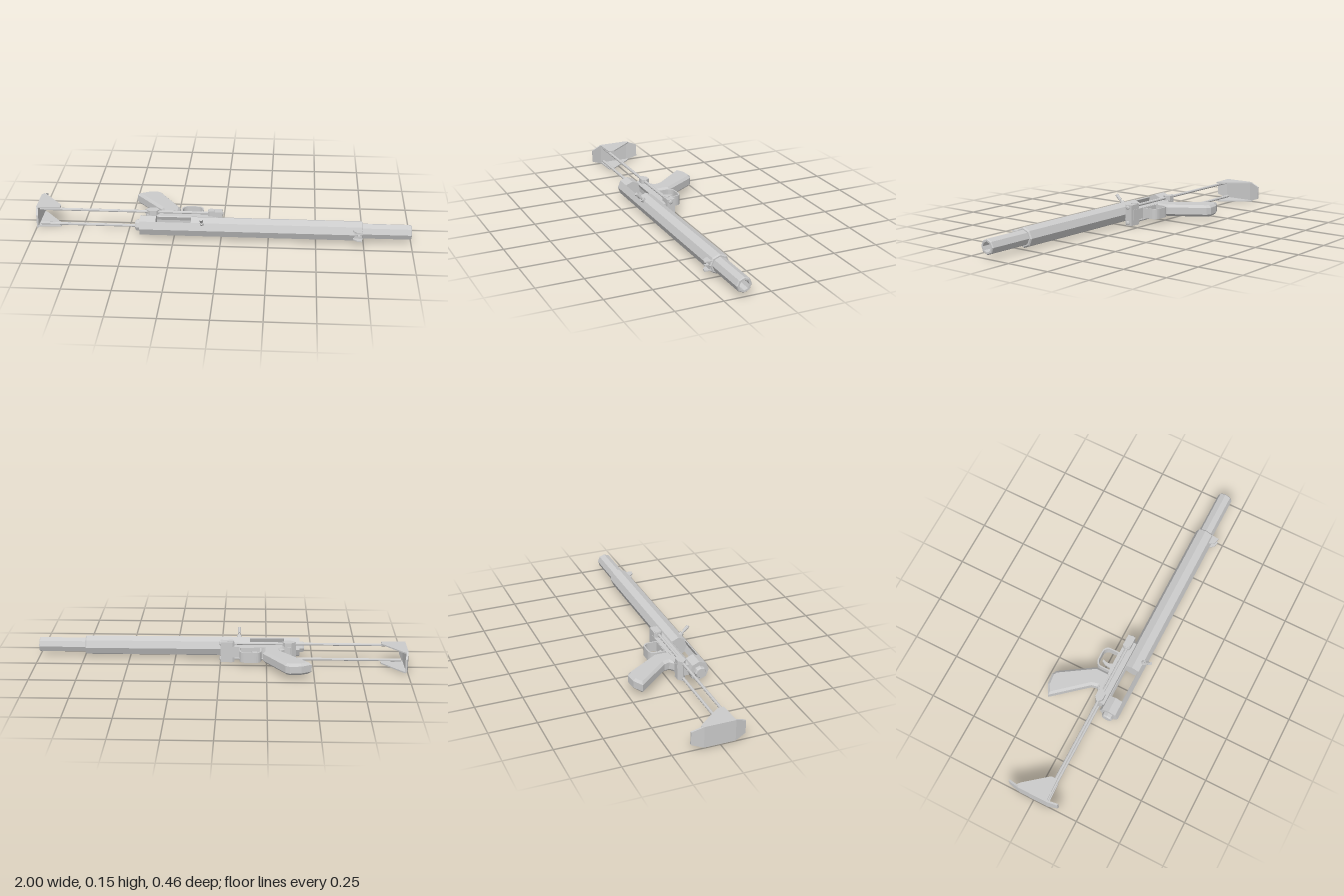
import * as THREE from 'three';

const MID = 0.061; // centre plane across y
const AXIS = 0.143; // height of the bore along z

export function createModel() {
  const root = new THREE.Group();
  const mat = new THREE.MeshStandardMaterial({ color: 0xcccccc, flatShading: true });

  const add = (name, geo, x = 0, y = 0, z = 0) => {
    const m = new THREE.Mesh(geo, mat);
    m.name = name;
    m.position.set(x, y, z);
    root.add(m);
    return m;
  };
  const box = (name, x0, x1, y0, y1, z0, z1) =>
    add(name, new THREE.BoxGeometry(x1 - x0, y1 - y0, z1 - z0), (x0 + x1) / 2, (y0 + y1) / 2, (z0 + z1) / 2);

  // turned part along x from [radius, x] points
  const turned = (name, pts, sides = 8, y = MID, z = AXIS) =>
    add(name, new THREE.LatheGeometry(pts.map(p => new THREE.Vector2(...p)), sides).rotateZ(-Math.PI / 2), 0, y, z);

  const outline = pts => new THREE.Shape(pts.map(([a, b]) => new THREE.Vector2(a, -b)));

  // [x, z] outline given thickness along y, optionally bevelled
  const slab = (name, shape, y0, y1, bevel = 0) => {
    const geo = new THREE.ExtrudeGeometry(shape, {
      depth: y1 - y0 - 2 * bevel, bevelEnabled: bevel > 0, bevelSegments: 1,
      bevelThickness: bevel, bevelSize: bevel, bevelOffset: -bevel, curveSegments: 6,
    });
    return add(name, geo.rotateX(-Math.PI / 2), 0, y0 + bevel, 0);
  };

  // Receiver: long front tube, rear collar and cap, joined by two strips beside the open port
  const R = 0.054;
  turned('receiverTube', [[0, -0.158], [R, -0.158], [R, 0.738], [0.048, 0.745], [0, 0.745]]);
  turned('rearCollar', [[0, -0.43], [R, -0.43], [R, -0.345], [0, -0.345]]);
  turned('rearCap', [[0, -0.455], [0.026, -0.455], [0.031, -0.447], [0.031, -0.43]]);
  const k = Math.SQRT1_2, r = R - 0.006;
  for (const s of [-1, 1]) {
    const v = [[R * k, -R * k], [R, 0], [R * k, R * k], [R * k - 0.004, r * k], [r, 0], [R * k - 0.004, -r * k]];
    const shape = new THREE.Shape(v.map(([a, b]) => new THREE.Vector2(s * a, b)));
    const geo = new THREE.ExtrudeGeometry(shape, { depth: 0.187, bevelEnabled: false }).rotateY(Math.PI / 2);
    add('portStrip', geo, -0.345, MID, AXIS);
  }

  // Hollow barrel
  turned('barrel', [[0.041, 0.74], [0.041, 0.995], [0.037, 1.0], [0.027, 1.0], [0.027, 0.85], [0, 0.85]]);

  // Cocking handle, leaning 45 degrees
  const handle = new THREE.Group();
  handle.name = 'cockingHandle';
  for (const [rad, len, at] of [[0.013, 0.02, 0.054], [0.006, 0.02, 0.07], [0.009, 0.036, 0.096]]) {
    const m = new THREE.Mesh(new THREE.CylinderGeometry(rad, rad, len, 8), mat);
    m.name = 'handlePart';
    m.position.y = at;
    handle.add(m);
  }
  handle.position.set(-0.1, MID, AXIS);
  handle.rotation.x = Math.PI / 4;
  root.add(handle);

  // Front sight: post between two swept ears
  const ear = outline([[0.69, 0.17], [0.745, 0.17], [0.74, 0.224], [0.712, 0.218], [0.695, 0.2]]);
  for (const s of [-1, 1]) slab('sightEar', ear, MID + s * 0.023 - 0.003, MID + s * 0.023 + 0.003);
  box('sightBase', 0.70, 0.74, MID - 0.023, MID + 0.023, 0.18, 0.195);
  box('sightPost', 0.715, 0.73, MID - 0.003, MID + 0.003, 0.19, 0.216);

  // Trigger housing and pistol grip
  slab('triggerHousing', outline([[-0.38, 0.04], [-0.02, 0.04], [-0.02, 0.1], [-0.40, 0.1], [-0.40, 0.06]]), 0.031, 0.091);
  slab('grip', outline([
    [-0.485, -0.19], [-0.43, -0.22], [-0.37, -0.226], [-0.347, -0.212], [-0.23, -0.03], [-0.23, 0.06],
    [-0.37, 0.06], [-0.325, 0.02], [-0.332, -0.01],
  ]), 0.029, 0.093, 0.013);

  // Trigger guard: rounded strap with an opening
  const guardShape = (x0, x1, z0, z1, c, path) => {
    path.moveTo(x0, -z1);
    path.lineTo(x1, -z1);
    path.lineTo(x1, -(z0 + c));
    path.quadraticCurveTo(x1, -z0, x1 - c, -z0);
    path.lineTo(x0 + c, -z0);
    path.quadraticCurveTo(x0, -z0, x0, -(z0 + c));
    path.closePath();
    return path;
  };
  const guard = guardShape(-0.222, -0.103, -0.046, 0.045, 0.04, new THREE.Shape());
  guard.holes.push(guardShape(-0.215, -0.11, -0.039, 0.036, 0.035, new THREE.Path()));
  slab('triggerGuard', guard, 0.033, 0.089);
  slab('trigger', outline([
    [-0.2, 0.045], [-0.165, 0.045], [-0.178, 0.015], [-0.178, -0.005], [-0.17, -0.022], [-0.182, -0.022], [-0.194, 0],
  ]), MID - 0.008, MID + 0.008);

  // Cross brackets that carry the stock rods
  slab('frontBracket', outline([
    [-0.075, 0.05], [-0.065, 0.041], [0, 0.041], [0, 0.083], [-0.065, 0.083], [-0.075, 0.075],
  ]), 0.004, 0.118);
  slab('rearBracket', outline([
    [-0.41, 0.063], [-0.385, 0.041], [-0.35, 0.041], [-0.335, 0.063], [-0.35, 0.085], [-0.385, 0.085],
  ]), 0.006, 0.116);
  add('bracketPin', new THREE.CylinderGeometry(0.018, 0.018, 0.12, 8), -0.055, MID, 0.063);

  // Folding stock: rods, end screws and side flanges mirrored across y
  const flange = outline([[-0.99, -0.1], [-0.968, -0.08], [-0.87, 0.042], [-0.87, 0.075], [-0.99, 0.08]]);
  for (const s of [-1, 1]) {
    const y = MID + s * 0.043;
    turned('stockRod', [[0, -0.98], [0.008, -0.98], [0.008, 0], [0, 0]], 8, y, 0.066);
    turned('rodScrew', [[0.012, 0], [0.012, 0.004], [0.006, 0.007], [0, 0.007]], 8, y, 0.066);
    slab('stockFlange', flange, MID + s * 0.0545 - 0.0035, MID + s * 0.0545 + 0.0035);
  }

  // Butt plate: bowed strip that narrows toward both ends
  const plate = new THREE.BoxGeometry(0.01, 2, 3, 1, 1, 3);
  const rows = [[-0.147, -0.983, 0.035], [-0.085, -0.995, 0.058], [0.08, -0.995, 0.058], [0.137, -0.983, 0.035]];
  const p = plate.attributes.position;
  for (let i = 0; i < p.count; i++) {
    const [z, x, half] = rows[Math.round(p.getZ(i) + 1.5)];
    p.setXYZ(i, x + p.getX(i), MID + p.getY(i) * half, z);
  }
  plate.computeVertexNormals();
  add('buttPlate', plate);

  return root;
}
